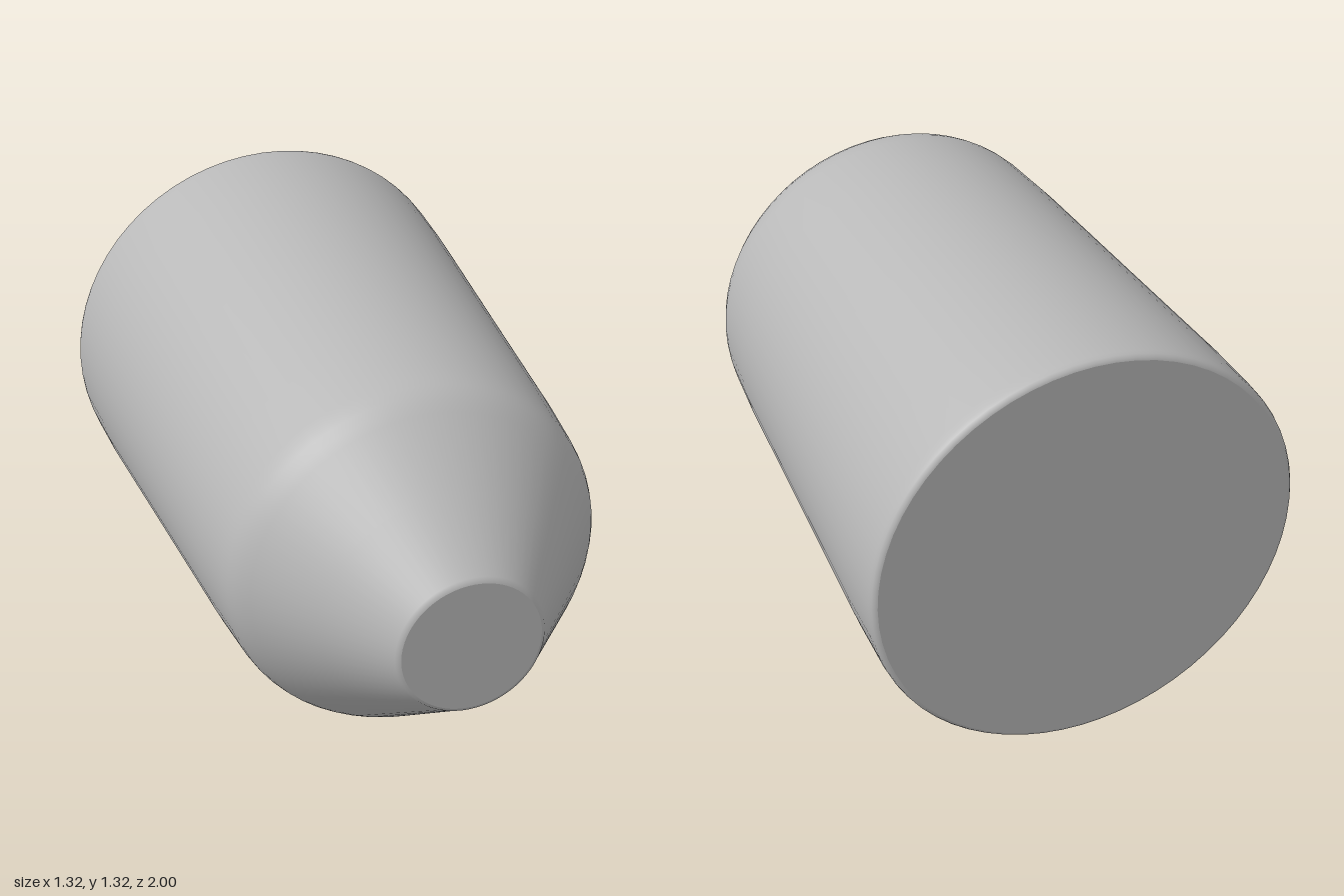
import * as THREE from 'three';

const SEGMENTS = 64;
const RADIUS = 0.66;

export function createModel() {
  const model = new THREE.Group();
  model.name = 'taperedPlug';
  const grey = new THREE.MeshStandardMaterial({ color: 0xb8b8b8 });
  grey.name = 'plain grey';

  // Profile as [radius, z], from the wide back to the narrow nose
  const profile = [
    [0.642, -1], [0.65, -0.997], [0.656, -0.988], [0.659, -0.975], [0.66, -0.95],
    [0.655, -0.76], [0.626, -0.25], [0.597, 0.27], [0.58, 0.47],
    [0.574, 0.505], [0.564, 0.535], [0.549, 0.562], [0.53, 0.59],
    [0.38, 0.787], [0.227, 0.988], [0.222, 0.996], [0.212, 1],
  ].map(([r, z]) => new THREE.Vector2(r, z));

  // Body, turned about the z axis
  const body = new THREE.Mesh(new THREE.LatheGeometry(profile, SEGMENTS).rotateX(Math.PI / 2), grey);
  body.name = 'body';
  body.position.y = RADIUS;
  model.add(body);

  // Flat end faces, with the same segment alignment as the body
  const addCap = (name, radius, z) => {
    const geometry = new THREE.CircleGeometry(radius, SEGMENTS);
    if (z < 0) geometry.rotateY(Math.PI);
    const cap = new THREE.Mesh(geometry, grey);
    cap.name = name;
    cap.position.set(0, RADIUS, z);
    model.add(cap);
  };
  addCap('noseFace', 0.212, 1);
  addCap('backFace', 0.642, -1);

  return model;
}
